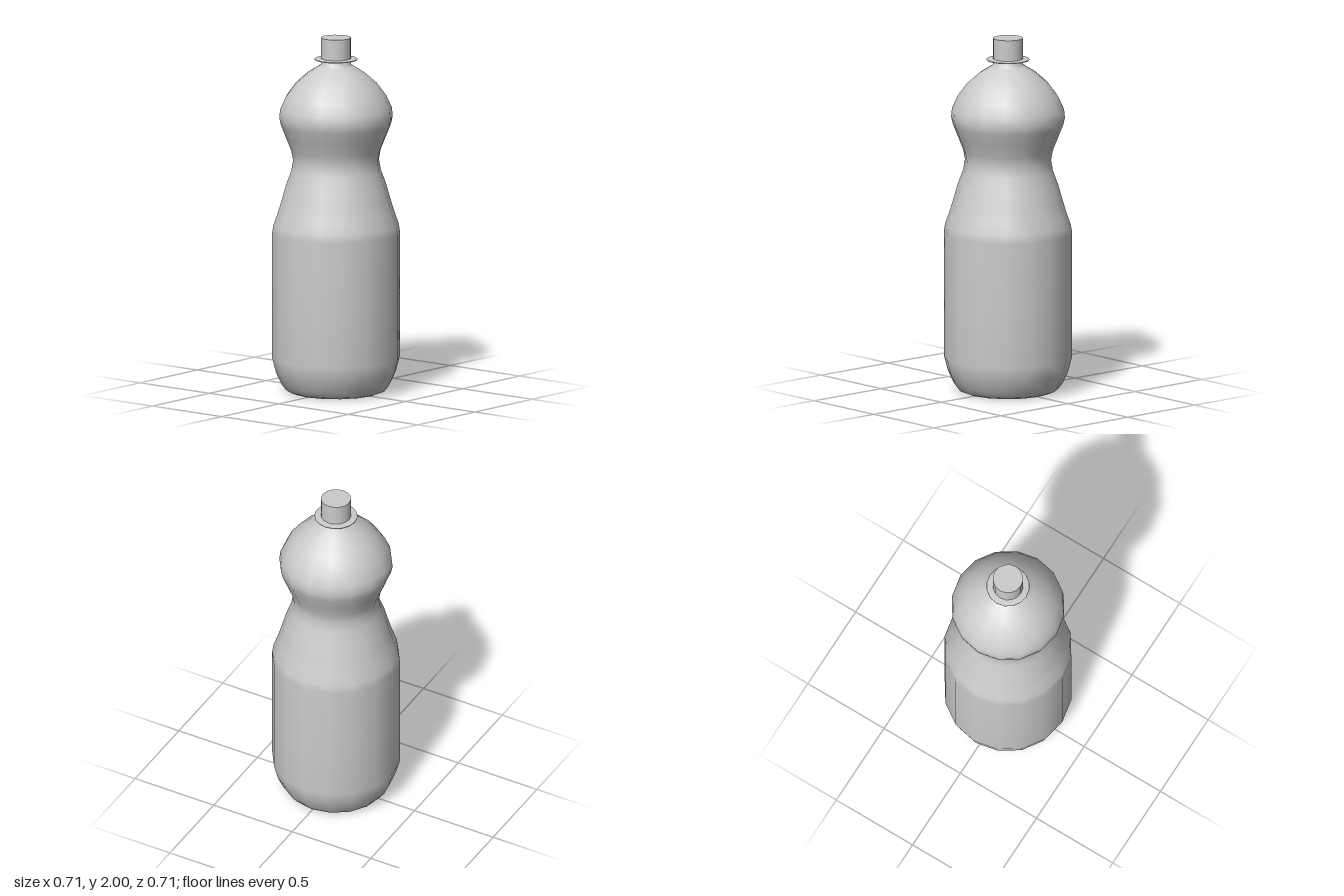
import * as THREE from 'three';

const SIDES = 16;
const material = new THREE.MeshStandardMaterial({ color: 0xcccccc });

// Revolve a bottom-to-top profile of [radius, height] pairs
function turned(name, profile) {
  const points = profile.map(([r, y]) => new THREE.Vector2(r, y));
  const mesh = new THREE.Mesh(new THREE.LatheGeometry(points, SIDES), material);
  mesh.name = name;
  return mesh;
}

// Flat disc whose corners line up with the turned parts
function disc(name, radius, y, facing) {
  const mesh = new THREE.Mesh(new THREE.CircleGeometry(radius, SIDES), material);
  mesh.rotation.x = -facing * Math.PI / 2;
  mesh.position.y = y;
  mesh.name = name;
  return mesh;
}

export function createModel() {
  const bottle = new THREE.Group();
  bottle.name = 'bottle';

  // Body: rounded foot, straight belly, pinched waist, domed shoulder
  bottle.add(turned('body', [
    [0.25, 0], [0.28, 0.012], [0.305, 0.045], [0.335, 0.11], [0.357, 0.195],
    [0.357, 0.55], [0.357, 0.9], [0.35, 0.945], [0.33, 1.0], [0.305, 1.08],
    [0.28, 1.17], [0.25, 1.25], [0.24, 1.31], [0.25, 1.365], [0.28, 1.44],
    [0.308, 1.51], [0.317, 1.55], [0.312, 1.6], [0.28, 1.67], [0.228, 1.74],
    [0.16, 1.8], [0.1, 1.838], [0.084, 1.85], [0.078, 1.876],
  ]));
  bottle.add(disc('base', 0.25, 0, -1));

  // Thin collar around the neck
  bottle.add(turned('collar', [
    [0.076, 1.874], [0.119, 1.875], [0.121, 1.878], [0.119, 1.881], [0.084, 1.883],
  ]));

  // Closed spout
  bottle.add(turned('spout', [[0.084, 1.88], [0.084, 2]]));
  bottle.add(disc('spoutTop', 0.084, 2, 1));

  return bottle;
}
